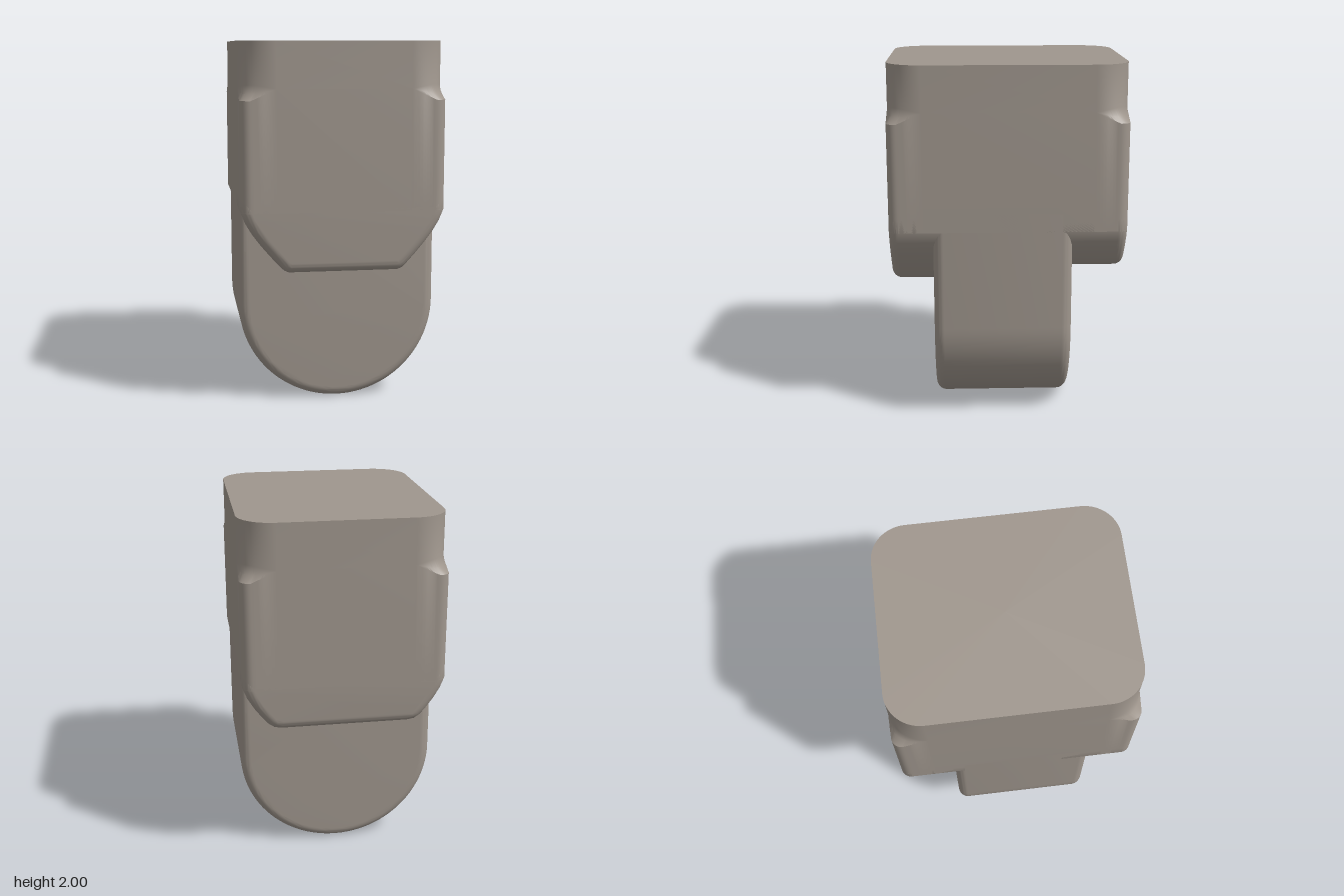
import * as THREE from 'three';
import { toCreasedNormals } from 'three/addons/utils/BufferGeometryUtils.js';

const W = 0.55, D = 0.65, ROUND = 0.055, R = 0.19, STEPS = 24;

// Ring around the block: corner(t) gives [u, v, y] measured from each corner's centre
function ring(corner) {
  const pts = [];
  for (let q = 0; q < 4; q++) {
    const sx = q === 0 || q === 3 ? 1 : -1, sz = q < 2 ? 1 : -1;
    for (let i = 0; i <= STEPS; i++) {
      const [u, v, y] = corner(i / STEPS);
      const [du, dv] = [[u, v], [-v, u], [-u, -v], [v, -u]][q];
      pts.push([sx * (W - R) + du, y, sz * (D - R) + dv]);
    }
  }
  return pts;
}

// Wide corner of the top, its lower end arching slightly
const wide = t => {
  const a = t * Math.PI / 2;
  return [R * Math.cos(a), R * Math.sin(a), 1.75 + 0.02 * Math.sin(2 * a)];
};

// Tight corner: straight, small arc, straight, dipping in a V
const tight = t => {
  const s = R - ROUND, a = THREE.MathUtils.clamp(3 * t - 1, 0, 1) * Math.PI / 2;
  return [
    s * Math.min(1, 3 * (1 - t)) + ROUND * Math.cos(a),
    s * Math.min(1, 3 * t) + ROUND * Math.sin(a),
    1.75 - 0.06 * Math.min(1, 3 * t, 3 * (1 - t)),
  ];
};

// Concave step between the two corners
const shoulder = t => {
  const a = wide(t), b = tight(t);
  return [0.3, 0.3, 0.55].map((k, i) => a[i] + (b[i] - a[i]) * k);
};

const atHeight = (corner, y) => t => [...corner(t).slice(0, 2), y];

// Stack of rings, closed on top
function loft(rings) {
  const pos = [], n = rings[0].length, top = rings[0];
  for (let i = 0; i < n; i++) {
    const j = (i + 1) % n;
    pos.push(0, top[0][1], 0, ...top[j], ...top[i]);
    for (let k = 0; k + 1 < rings.length; k++) {
      const u = rings[k], l = rings[k + 1];
      pos.push(...u[i], ...u[j], ...l[i], ...u[j], ...l[j], ...l[i]);
    }
  }
  const g = new THREE.BufferGeometry();
  g.setAttribute('position', new THREE.Float32BufferAttribute(pos, 3));
  return g;
}

// Mirrored outline from its right half (top to bottom), extruded with rounded rims
function slab(half, z0, z1) {
  const right = half.map(([x, y]) => new THREE.Vector2(x, y));
  const left = right.filter(p => p.x > 0.001).map(p => new THREE.Vector2(-p.x, p.y)).reverse();
  const g = new THREE.ExtrudeGeometry(new THREE.Shape([...right, ...left]), {
    depth: z1 - z0 - 2 * ROUND, bevelEnabled: true, bevelSize: ROUND,
    bevelOffset: -ROUND, bevelThickness: ROUND, bevelSegments: 10,
  });
  return g.translate(0, 0, z0 + ROUND);
}

export function createModel() {
  const group = new THREE.Group();
  const material = new THREE.MeshStandardMaterial({ color: 0x9f968d });
  const add = (name, geometry) => {
    const mesh = new THREE.Mesh(toCreasedNormals(geometry, 0.5), material);
    mesh.name = name;
    group.add(mesh);
  };

  // Block whose widely rounded top steps out to tighter corners
  add('body', loft([atHeight(wide, 2), wide, shoulder, tight, atHeight(tight, 1.1)].map(ring)));

  // Overhanging cheeks on one shared curve, the front one reaching lower
  const curve = [[W, 1.17], [W, 1.1], [0.526, 1.04], [0.49, 0.98], [0.445, 0.92]];
  add('frontCheek', slab([...curve, [0.39, 0.855], [0.34, 0.8], [0.32, 0.782],
    [0.295, 0.772]], 0.2, D));
  add('backCheek', slab([...curve, [0.415, 0.887], [0.385, 0.867], [0.345, 0.86]], -D, -0.15));

  // Round-ended tongue between the cheeks
  const tongue = [[W, 1.2]];
  for (let i = 0; i <= 24; i++) {
    const a = i / 24 * Math.PI / 2;
    tongue.push([W * Math.cos(a), W - W * Math.sin(a)]);
  }
  add('tongue', slab(tongue, -0.35, 0.41));

  return group;
}
